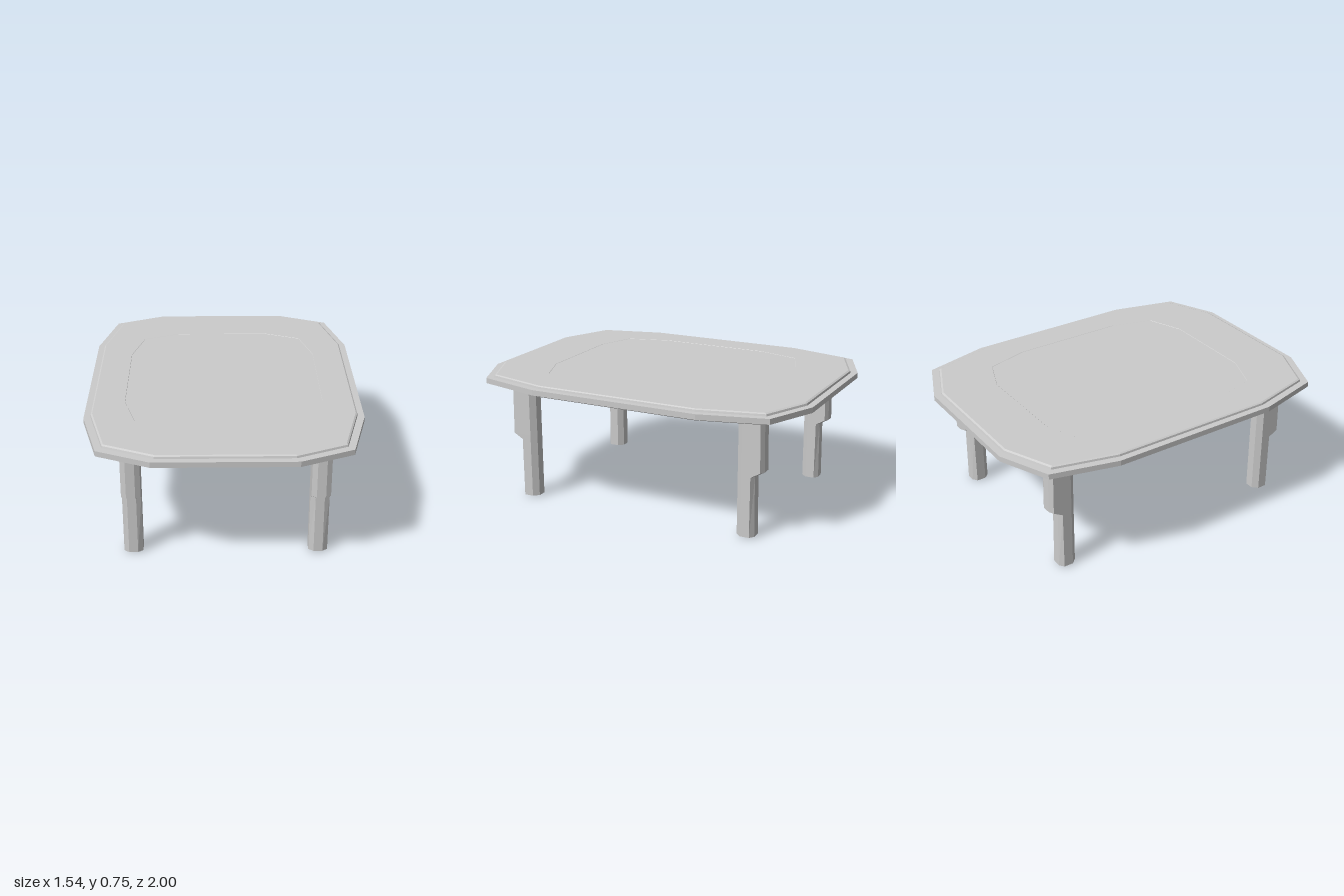
import * as THREE from 'three';

const material = new THREE.MeshStandardMaterial({ color: 0xcccccc, flatShading: true });

// Skins a stack of rings (each counter-clockwise from above) and closes both ends.
function loft(name, rings) {
  const pos = [];
  const tri = (a, b, c) => pos.push(...a, ...b, ...c);
  const n = rings[0].length;
  for (let r = 0; r < rings.length - 1; r++) {
    const a = rings[r], b = rings[r + 1];
    for (let i = 0; i < n; i++) {
      const j = (i + 1) % n;
      tri(a[i], a[j], b[j]);
      tri(a[i], b[j], b[i]);
    }
  }
  const bottom = rings[0], top = rings[rings.length - 1];
  for (let i = 1; i < n - 1; i++) {
    tri(bottom[0], bottom[i + 1], bottom[i]);
    tri(top[0], top[i], top[i + 1]);
  }
  const geometry = new THREE.BufferGeometry();
  geometry.setAttribute('position', new THREE.Float32BufferAttribute(pos, 3));
  geometry.computeVertexNormals();
  const mesh = new THREE.Mesh(geometry, material);
  mesh.name = name;
  return mesh;
}

// Twelve-sided outline of the top, one quarter mirrored to four.
const quarter = [[0.77, 0.5], [0.675, 0.875], [0.385, 1]];
const reversed = [...quarter].reverse();
const outline = [
  ...quarter.map(([x, z]) => [x, -z]),
  ...reversed.map(([x, z]) => [-x, -z]),
  ...quarter.map(([x, z]) => [-x, z]),
  ...reversed,
];
const topRing = (sx, sz, y) => outline.map(([x, z]) => [x * sx, y, z * sz]);

// Eight-sided leg section; zOut is the outer face, which steps out higher up.
function legRing(y, half, zIn, zOut, chamferX, chamferIn, chamferOut) {
  const c = half - chamferX;
  return [
    [half, y, zIn + chamferIn], [c, y, zIn], [-c, y, zIn], [-half, y, zIn + chamferIn],
    [-half, y, zOut - chamferOut], [-c, y, zOut], [c, y, zOut], [half, y, zOut - chamferOut],
  ];
}

function makeLeg(name) {
  const leg = new THREE.Group();
  leg.name = name;
  leg.add(loft('legPost', [
    legRing(0.008, 0.053, -0.053, 0.051, 0.028, 0.03, 0.02),
    legRing(0.355, 0.053, -0.053, 0.047, 0.028, 0.03, 0.015),
    legRing(0.387, 0.053, -0.053, 0.102, 0.028, 0.03, 0.015),
    legRing(0.662, 0.053, -0.053, 0.098, 0.028, 0.03, 0.015),
  ]));
  // Short neck under the top and small foot pad
  leg.add(loft('legNeck', [
    legRing(0.655, 0.045, -0.03, 0.078, 0.02, 0.02, 0.012),
    legRing(0.69, 0.045, -0.03, 0.078, 0.02, 0.02, 0.012),
  ]));
  leg.add(loft('footPad', [
    legRing(0, 0.023, -0.023, 0.023, 0.01, 0.01, 0.01),
    legRing(0.012, 0.023, -0.023, 0.023, 0.01, 0.01, 0.01),
  ]));
  return leg;
}

export function createModel() {
  const table = new THREE.Group();
  table.name = 'table';

  // Top: faint inset panel on both faces, bevelled slab, projecting rim
  table.add(loft('tableTop', [
    topRing(0.718, 0.653, 0.6835),
    topRing(0.72, 0.655, 0.682),
    topRing(0.943, 0.953, 0.682),
    topRing(0.95, 0.96, 0.687),
    topRing(0.95, 0.96, 0.7),
    topRing(1, 1, 0.7),
    topRing(1, 1, 0.731),
    topRing(0.953, 0.963, 0.731),
    topRing(0.95, 0.96, 0.742),
    topRing(0.94, 0.95, 0.747),
    topRing(0.72, 0.655, 0.747),
    topRing(0.718, 0.653, 0.7455),
  ]));

  // Four legs, stepped side facing the ends of the table
  const legs = new THREE.Group();
  legs.name = 'legs';
  for (const [sx, side] of [[1, 'Left'], [-1, 'Right']]) {
    for (const [sz, end] of [[1, 'front'], [-1, 'back']]) {
      const leg = makeLeg(`${end}${side}Leg`);
      leg.position.set(sx * 0.515, 0, sz * 0.69);
      if (sz < 0) leg.rotation.y = Math.PI;
      legs.add(leg);
    }
  }
  legs.position.set(0.007, 0, -0.011);
  table.add(legs);
  return table;
}
